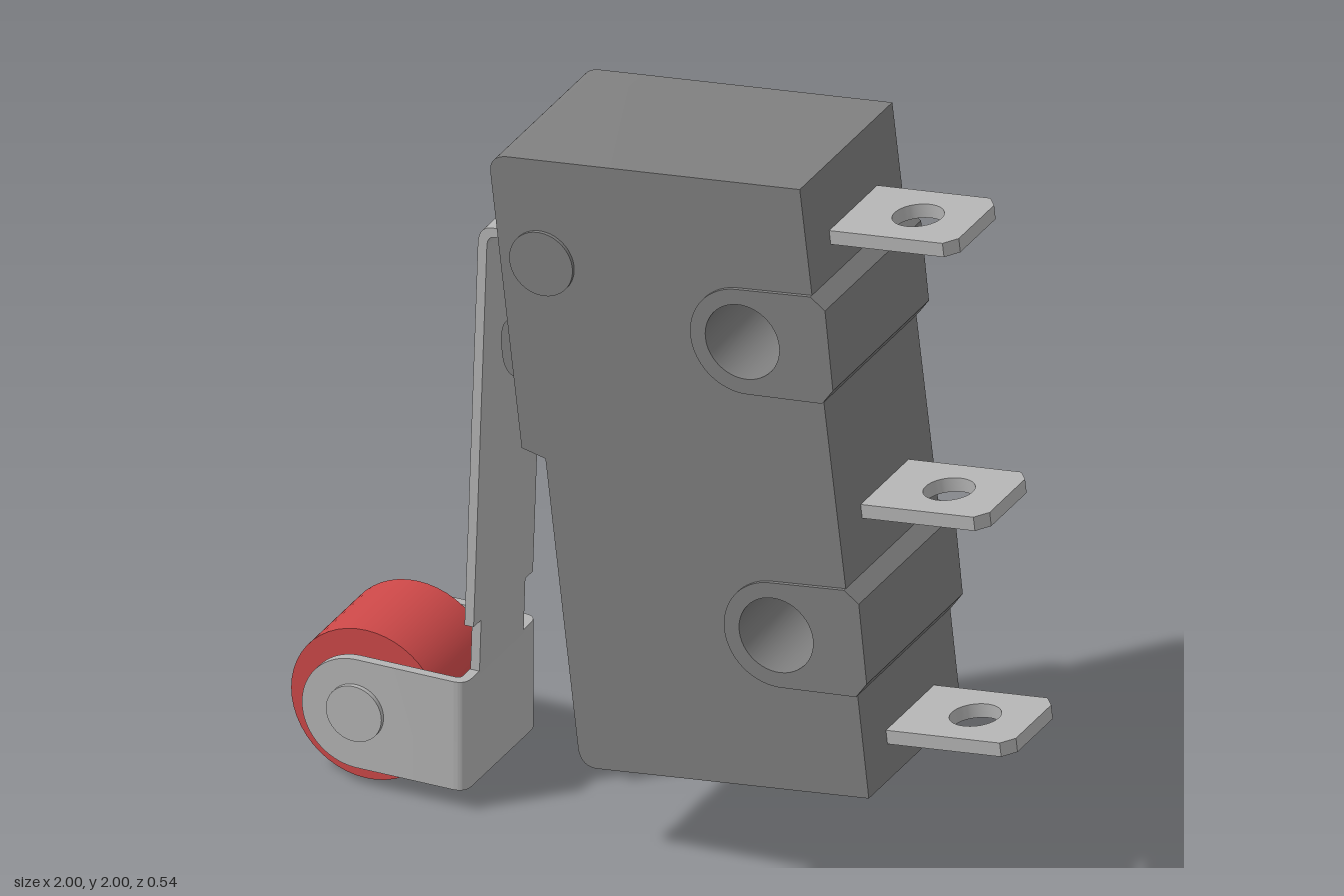
import * as THREE from 'three';
import { toCreasedNormals } from 'three/addons/utils/BufferGeometryUtils.js';

const TILT = 0.115; // lean of the housing, radians
const LUG_STEP = [0.094, -0.804]; // upper mounting hole to lower one

const mat = (name, color) => {
  const m = new THREE.MeshStandardMaterial({ color });
  m.name = name;
  return m;
};

// Extrudes a shape along z, centred on z = 0
function slab(shape, depth, z = 0) {
  const g = new THREE.ExtrudeGeometry(shape, { depth, bevelEnabled: false, curveSegments: 24 });
  g.translate(0, 0, z - depth / 2);
  return toCreasedNormals(g, 0.6);
}

function polygon(points) {
  return new THREE.Shape(points.map(([x, y]) => new THREE.Vector2(x, y)));
}

function addHole(shape, x, y, r) {
  const hole = new THREE.Path();
  hole.absarc(x, y, r, 0, Math.PI * 2, true);
  shape.holes.push(hole);
}

export function createModel() {
  const root = new THREE.Group();
  const housingGrey = mat('housingGrey', 0x7e7e7e);
  const metal = mat('metal', 0xb4b4b4);
  const rollerRed = mat('rollerRed', 0xcc4848);

  const add = (name, geometry, material) => {
    const mesh = new THREE.Mesh(geometry, material);
    mesh.name = name;
    root.add(mesh);
    return mesh;
  };
  const pin = (name, x, y, r, length, material) => {
    const g = new THREE.CylinderGeometry(r, r, length, 48).rotateX(Math.PI / 2);
    add(name, g.translate(x, y, 0), material);
  };

  // Housing with two chamfered mounting lugs on the terminal side
  const lug = [[0.537, 1.417], [0.567, 1.46], [0.545, 1.68], [0.504, 1.71]];
  const lugAt = (i) => lug.map(([x, y]) => [x + i * LUG_STEP[0], y + i * LUG_STEP[1]]);
  const body = new THREE.Shape();
  body.moveTo(-0.095, 0.24);
  body.lineTo(0.662, 0.33);
  for (const i of [1, 0]) lugAt(i).forEach(([x, y]) => body.lineTo(x, y));
  body.lineTo(0.47, 2);
  body.lineTo(-0.345, 1.905);
  body.quadraticCurveTo(-0.395, 1.897, -0.39, 1.85);
  body.lineTo(-0.303, 1.095);
  body.lineTo(-0.237, 1.08);
  body.lineTo(-0.146, 0.285);
  body.quadraticCurveTo(-0.138, 0.238, -0.095, 0.24);
  for (const i of [0, 1]) addHole(body, 0.315 + i * LUG_STEP[0], 1.54 + i * LUG_STEP[1], 0.103);
  add('housing', slab(body, 0.524), housingGrey);

  // Raised pads around the mounting holes, on both faces
  for (const i of [0, 1]) {
    const cx = 0.315 + i * LUG_STEP[0];
    const cy = 1.54 + i * LUG_STEP[1];
    const pad = new THREE.Shape();
    pad.absarc(cx, cy, 0.145, Math.PI / 2 + TILT, Math.PI * 1.5 + TILT, false);
    lugAt(i).forEach(([x, y]) => pad.lineTo(x, y));
    pad.closePath();
    addHole(pad, cx, cy, 0.103);
    for (const s of [1, -1]) add('mountingPad', slab(pad, 0.01, s * 0.267), housingGrey);
  }
  pin('leverPivot', -0.245, 1.63, 0.088, 0.544, housingGrey);

  // Plunger under the lever
  const plunger = new THREE.Shape();
  plunger.moveTo(-0.28, 1.204);
  plunger.lineTo(-0.395, 1.188);
  plunger.quadraticCurveTo(-0.437, 1.19, -0.442, 1.25);
  plunger.quadraticCurveTo(-0.455, 1.345, -0.41, 1.355);
  plunger.lineTo(-0.3, 1.368);
  add('plunger', slab(plunger, 0.18), housingGrey);

  // Three flat terminals with a hole and clipped tips
  const blade = polygon([
    [-0.03, -0.136], [0.32, -0.136], [0.348, -0.1], [0.348, 0.1], [0.32, 0.136], [-0.03, 0.136],
  ]);
  addHole(blade, 0.185, 0, 0.066);
  const bladeGeometry = slab(blade, 0.038).rotateX(-Math.PI / 2);
  for (const [x, y] of [[0.489, 1.811], [0.575, 1.06], [0.648, 0.441]]) {
    const terminal = add('terminal', bladeGeometry, metal);
    terminal.position.set(x, y, 0);
    terminal.rotation.z = TILT;
  }

  // Bent lever strip
  const lever = new THREE.Shape();
  lever.moveTo(-0.33, 1.641);
  lever.lineTo(-0.425, 1.641);
  lever.quadraticCurveTo(-0.468, 1.641, -0.471, 1.59);
  lever.lineTo(-0.508, 0.505);
  lever.lineTo(-0.483, 0.505);
  lever.lineTo(-0.446, 1.588);
  lever.quadraticCurveTo(-0.444, 1.616, -0.42, 1.616);
  lever.lineTo(-0.33, 1.616);
  add('lever', slab(lever, 0.336), metal);
  const neck = polygon([[-0.508, 0.505], [-0.513, 0.35], [-0.488, 0.35], [-0.483, 0.505]]);
  add('leverNeck', slab(neck, 0.25), metal);

  // U-shaped roller bracket: a bent channel with rounded ends on its arms
  const channel = new THREE.Shape();
  channel.moveTo(-0.79, -0.205);
  channel.lineTo(-0.525, -0.205);
  channel.quadraticCurveTo(-0.488, -0.205, -0.488, -0.168);
  channel.lineTo(-0.488, 0.168);
  channel.quadraticCurveTo(-0.488, 0.205, -0.525, 0.205);
  channel.lineTo(-0.79, 0.205);
  channel.lineTo(-0.79, 0.179);
  channel.lineTo(-0.53, 0.179);
  channel.quadraticCurveTo(-0.514, 0.179, -0.514, 0.163);
  channel.lineTo(-0.514, -0.163);
  channel.quadraticCurveTo(-0.514, -0.179, -0.53, -0.179);
  channel.lineTo(-0.79, -0.179);
  add('rollerBracket', slab(channel, 0.304).rotateX(-Math.PI / 2).translate(0, 0.208, 0), metal);
  const armEnd = new THREE.Shape();
  armEnd.absarc(-0.79, 0.208, 0.152, Math.PI / 2, Math.PI * 1.5, false);
  for (const s of [1, -1]) add('bracketArmEnd', slab(armEnd, 0.026, s * 0.192), metal);

  // Roller and its axle
  pin('roller', -0.792, 0.208, 0.208, 0.296, rollerRed);
  pin('axle', -0.792, 0.213, 0.077, 0.436, metal);

  return root;
}
